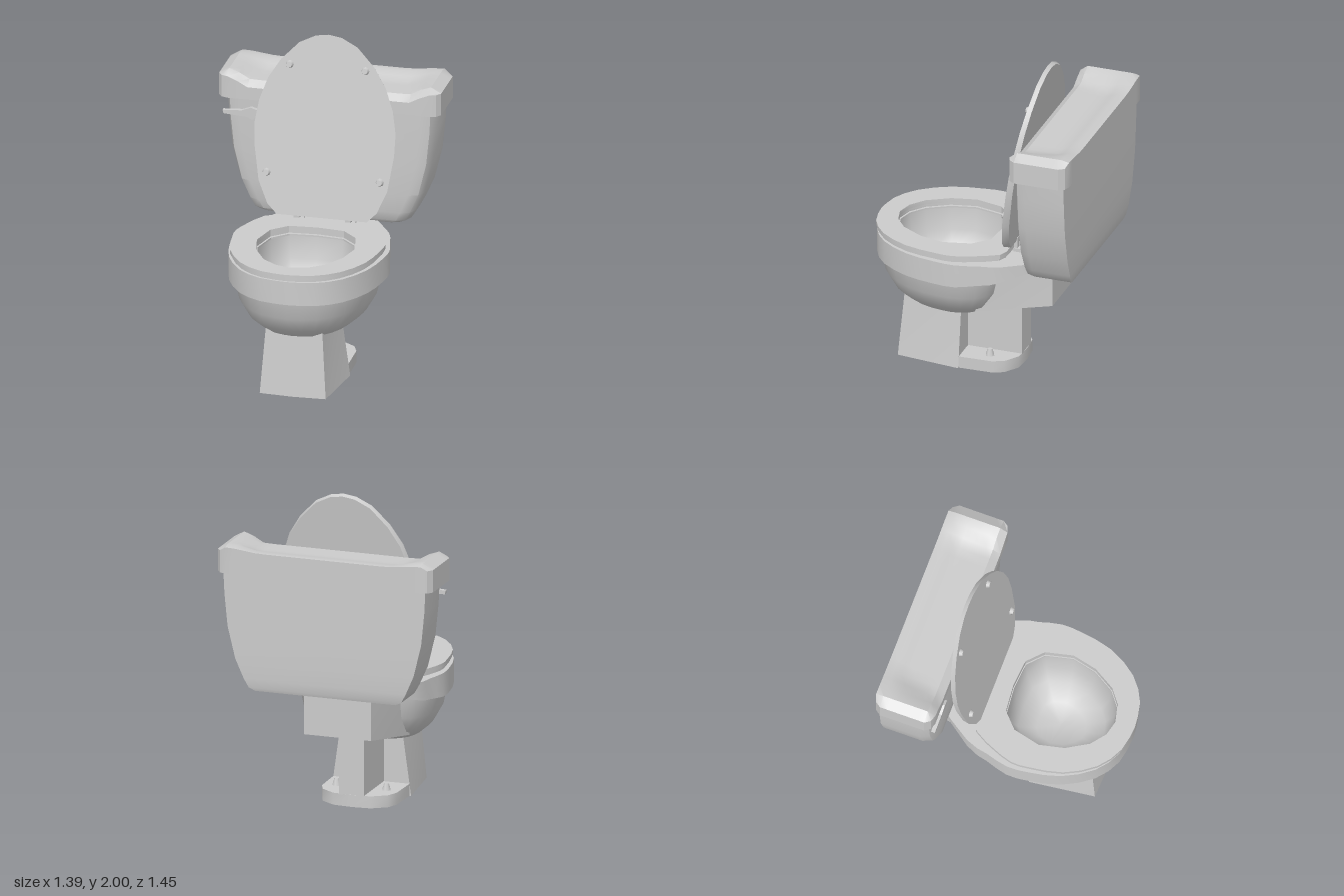
import * as THREE from 'three';
import { toCreasedNormals } from 'three/addons/utils/BufferGeometryUtils.js';

const material = new THREE.MeshStandardMaterial({ color: 0xcccccc });
const openMaterial = new THREE.MeshStandardMaterial({ color: 0xcccccc, side: THREE.DoubleSide });

function add(parent, name, geometry, x = 0, y = 0, z = 0, mat = material) {
  const mesh = new THREE.Mesh(geometry, mat);
  mesh.name = name;
  mesh.position.set(x, y, z);
  parent.add(mesh);
  return mesh;
}

// Completes a half outline that starts and ends on the centre line
const mirror = (half) => [...half, ...half.slice(1, -1).reverse().map(([x, z]) => [-x, z])];

// Passes a soft curve through the points of a half outline
const soften = (half, n) =>
  new THREE.SplineCurve(half.map(([x, z]) => new THREE.Vector2(x, z))).getPoints(n).map((p) => [p.x, p.y]);

// Scales an outline about a point on the centre line
const scaled = (outline, s, cz) => outline.map(([x, z]) => [x * s, cz + (z - cz) * s]);

// Skin through horizontal sections [height, outline], bottom to top
function loft(sections, crease = 0.6) {
  const n = sections[0][1].length;
  const positions = [], index = [];
  for (const [y, outline] of sections) for (const [x, z] of outline) positions.push(x, y, z);
  for (let i = 0; i < sections.length - 1; i++) {
    for (let j = 0; j < n; j++) {
      const a = i * n + j, b = i * n + (j + 1) % n;
      index.push(a, b, b + n, a, b + n, a + n);
    }
  }
  const g = new THREE.BufferGeometry();
  g.setAttribute('position', new THREE.Float32BufferAttribute(positions, 3));
  g.setIndex(index);
  return toCreasedNormals(g, crease);
}

function extrude(outline, depth, hole) {
  const toPoints = (o) => o.map(([x, y]) => new THREE.Vector2(x, y));
  const shape = new THREE.Shape(toPoints(outline));
  if (hole) shape.holes.push(new THREE.Path(toPoints(hole)));
  return new THREE.ExtrudeGeometry(shape, { depth, bevelEnabled: false });
}

// Horizontal slab from an x-z outline
const slab = (outline, y0, y1, hole) =>
  toCreasedNormals(extrude(outline, y1 - y0, hole).rotateX(Math.PI / 2).translate(0, y1, 0), 0.5);

// Moves every vertex by a rule, then renews the normals
function reshape(g, rule, crease = 0.5) {
  const p = g.attributes.position, v = new THREE.Vector3();
  for (let i = 0; i < p.count; i++) {
    rule(v.fromBufferAttribute(p, i));
    p.setXYZ(i, v.x, v.y, v.z);
  }
  return toCreasedNormals(g, crease);
}

const smooth = THREE.MathUtils.smoothstep;
const lerp = THREE.MathUtils.lerp;

function buildBowl(g) {
  const opening = mirror([[0, -0.055], [0.17, -0.04], [0.265, 0.05], [0.305, 0.22],
    [0.27, 0.375], [0.19, 0.51], [0.1, 0.58], [0, 0.605]]);
  const bowl = mirror(soften([[0, 0.7], [0.16, 0.67], [0.3, 0.57], [0.4, 0.4], [0.44, 0.22],
    [0.44, 0.08], [0.38, -0.06], [0.25, -0.13], [0, -0.15]], 14));
  const rim = mirror([...soften([[0, 0.715], [0.17, 0.69], [0.32, 0.59], [0.43, 0.41], [0.475, 0.22],
    [0.485, 0.08], [0.45, -0.06], [0.41, -0.2], [0.24, -0.45]], 16), [0, -0.45]]);
  const seat = mirror(soften([[0, 0.725], [0.16, 0.7], [0.31, 0.6], [0.42, 0.42], [0.46, 0.22],
    [0.465, 0.1], [0.42, -0.03], [0.37, -0.13], [0.3, -0.185], [0, -0.19]], 18));

  // Outer bowl and inner basin
  const profile = [[0.35, 0.001], [0.352, 0.38], [0.39, 0.65], [0.45, 0.81], [0.55, 0.94], [0.68, 1]];
  add(g, 'bowl', loft(profile.map(([y, s]) => [y, scaled(bowl, s, 0.25)]), 0.8), 0, 0, 0, openMaterial);
  const basin = [[0.46, 0.001], [0.475, 0.45], [0.55, 0.78], [0.66, 0.94], [0.8, 0.985]];
  add(g, 'basin', loft(basin.map(([y, s]) => [y, scaled(opening, s, 0.25)]), 0.9), 0, 0, 0, openMaterial);

  // Rim whose underside rises towards the tank shelf
  add(g, 'rim', reshape(slab(rim, 0.66, 0.81, scaled(opening, 0.985, 0.25)), (v) => {
    if (v.y > 0.7) return;
    v.y = v.z > -0.14 ? lerp(0.66, 0.69, Math.max(0, (0.1 - v.z) / 0.24))
      : lerp(0.69, 0.785, (-0.14 - v.z) / 0.31);
  }));

  // Seat ring above a slightly smaller cushion layer
  add(g, 'seat', slab(seat, 0.833, 0.86, opening));
  add(g, 'seatUnderside', slab(scaled(seat, 0.98, 0.25), 0.816, 0.833, opening));

  // Neck that carries the tank, flared towards the bowl
  add(g, 'neck', reshape(new THREE.BoxGeometry(0.43, 0.3, 0.5), (v) => {
    const back = v.z < 0, up = v.y > 0;
    v.z = back ? -0.45 : (up ? -0.08 : 0.02);
    v.y = up ? (back ? 0.8 : 0.74) : (back ? 0.5 : 0.42);
    v.x *= back ? 1 : 1.35;
  }));
}

function buildBase(g) {
  // Pedestal and foot plate are shells, open below
  const bottom = mirror([[0, 0.555], [0.205, 0.545], [0.255, 0.14], [0, 0.14]]);
  const top = mirror([[0, 0.515], [0.175, 0.51], [0.195, 0.14], [0, 0.14]]);
  add(g, 'pedestal', loft([[0, bottom], [0.43, top]], 0.4), 0, 0, 0, openMaterial);
  add(g, 'stem', new THREE.BoxGeometry(0.16, 0.39, 0.345), 0, 0.265, -0.033);
  const plate = mirror([[0, 0.14], [0.245, 0.14], [0.24, -0.07], [0.21, -0.14], [0.12, -0.2], [0, -0.21]]);
  add(g, 'footPlate', loft([[0, plate], [0.075, plate], [0.075, scaled(plate, 0.001, -0.03)]]), 0, 0, 0, openMaterial);
  for (const s of [-1, 1]) {
    add(g, 'floorBolt', new THREE.CylinderGeometry(0.015, 0.028, 0.045, 8), s * 0.16, 0.095, -0.03);
  }
}

function buildTank(g) {
  // Height, half width, front and back of each section
  const levels = [[0.805, 0.001, -0.51, -0.511], [0.805, 0.45, -0.375, -0.66], [0.825, 0.49, -0.36, -0.667],
    [0.88, 0.52, -0.35, -0.673], [1.0, 0.573, -0.345, -0.676], [1.2, 0.622, -0.345, -0.677],
    [1.4, 0.642, -0.345, -0.677], [1.56, 0.65, -0.345, -0.677]];
  const sections = levels.map(([y, w, f, b]) => {
    const c = Math.min(w, f - b) * 0.25;
    return [y, mirror([[0, f], [w - c, f], [w - c * 0.3, f - c * 0.3], [w, f - c], [w, b], [0, b]])];
  });
  add(g, 'tank', loft(sections, 0.75));

  // Cover with raised ends, a higher back edge and cut corners
  const W = 0.69, D = 0.19;
  add(g, 'tankCover', reshape(new THREE.BoxGeometry(2 * W, 0.17, 2 * D, 22, 1, 8), (v) => {
    const x = Math.abs(v.x);
    const endX = x > W - 0.001, endZ = Math.abs(v.z) > D - 0.001;
    if (v.y > 0) {
      const start = lerp(0.39, 0.5, (v.z + D) / (2 * D));
      const mid = lerp(1.65, 1.69, smooth(-v.z, 0.03, 0.18));
      v.y = lerp(mid, 1.71, smooth(x, start, 0.62));
      if (endX || v.z > D - 0.001) v.y -= 0.035;
      else if (endZ) v.y -= 0.01;
    } else v.y = 1.535;
    if (endX && endZ) {
      v.x *= 0.965;
      v.z *= 0.93;
    }
  }, 0.55), 0, 0, -0.515);

  // Flush lever
  const lever = [[-0.65, 1.435], [-0.505, 1.425], [-0.47, 1.41], [-0.445, 1.43], [-0.44, 1.475],
    [-0.48, 1.487], [-0.535, 1.465], [-0.655, 1.457]];
  add(g, 'flushLever', extrude(lever, 0.025), 0, 0, -0.342);
}

function buildLid(g) {
  const lid = new THREE.Group();
  lid.name = 'seatLid';
  lid.position.set(0, 0.872, -0.205);
  lid.rotation.x = -0.16;
  g.add(lid);
  const outline = mirror([[0, 0], [0.28, 0], [0.34, 0.06], [0.4, 0.2], [0.434, 0.42], [0.438, 0.56],
    [0.415, 0.7], [0.365, 0.84], [0.29, 0.96], [0.18, 1.075], [0.08, 1.125], [0, 1.137]]);
  // Panel thins towards the top and the back edge
  add(lid, 'lidPanel', reshape(extrude(outline, 0.045), (v) => {
    if (v.z < 0.01) {
      v.z = 0.017 * v.y;
      v.x *= 0.975;
      v.y = 0.57 + (v.y - 0.57) * 0.985;
    }
  }));
  // Bumpers and hinges
  for (const s of [-1, 1]) {
    for (const [x, y] of [[0.235, 0.934], [0.352, 0.254]]) {
      add(lid, 'bumper', new THREE.CylinderGeometry(0.018, 0.027, 0.025, 8).rotateX(Math.PI / 2), s * x, y, 0.053);
    }
    add(g, 'hinge', new THREE.BoxGeometry(0.035, 0.1, 0.035), s * 0.16, 0.85, -0.195);
    add(g, 'hingeFoot', new THREE.BoxGeometry(0.05, 0.025, 0.1), s * 0.16, 0.82, -0.24);
  }
}

export function createModel() {
  const model = new THREE.Group();
  model.name = 'toilet';
  const body = new THREE.Group();
  body.name = 'toiletBody';
  body.position.x = 0.017;
  body.rotation.y = 0.04; // stands slightly turned
  model.add(body);
  buildBase(body);
  buildBowl(body);
  buildTank(body);
  buildLid(body);
  return model;
}
